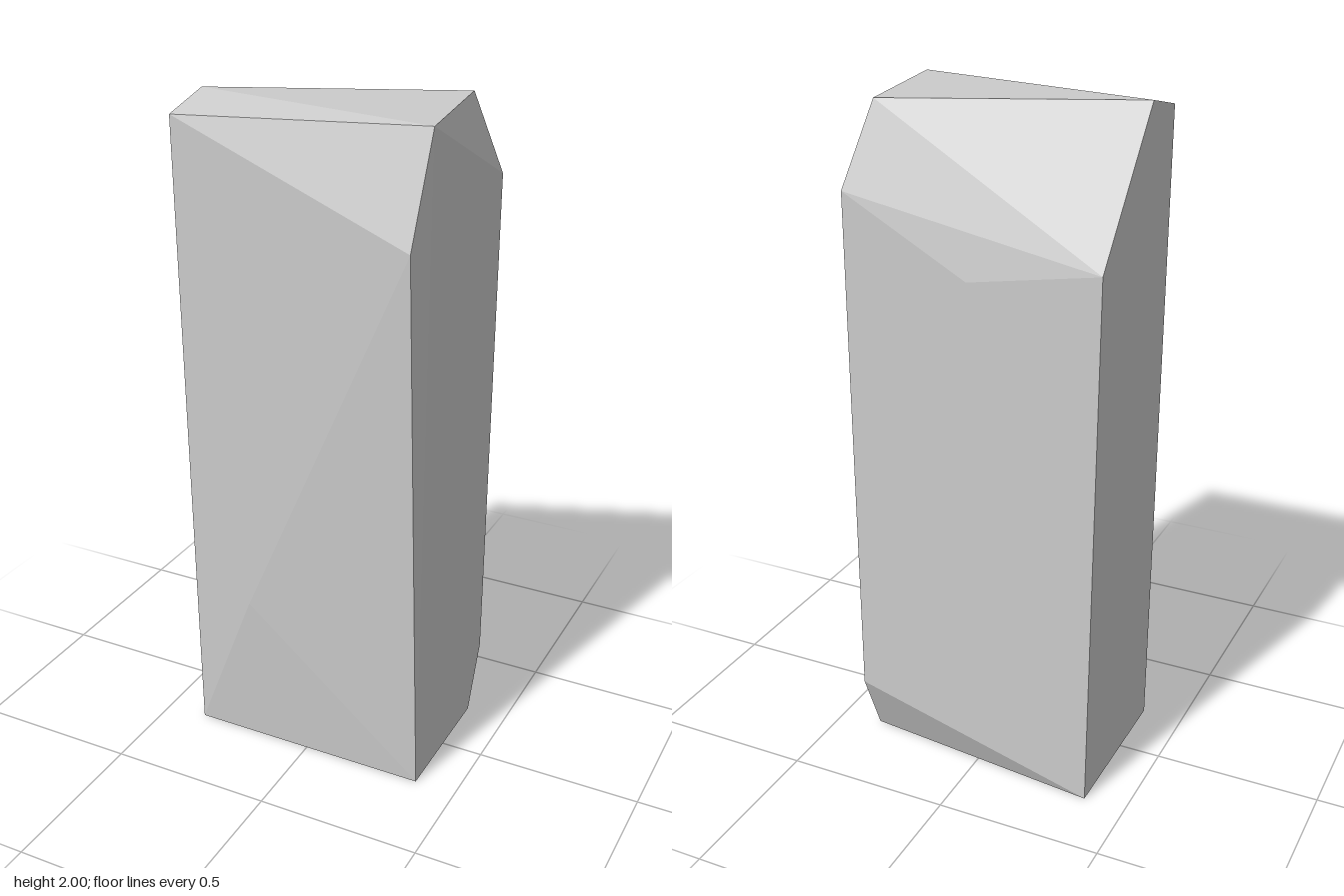
import * as THREE from 'three';
import { ConvexGeometry } from 'three/addons/geometries/ConvexGeometry.js';

// Half extents of the block
const X = 0.373, Z = 0.29;

export function createModel() {
  const group = new THREE.Group();
  group.name = 'stoneBlock';

  const corners = [
    // foot, with the back right corner chipped off
    [-X, 0, 0.21], [X, 0, 0.21], [X, 0, -0.207], [X, 0.2, -Z], [-X, 0, -Z],
    // low bulge on the front
    [-0.17, 0.5, 0.25],
    // front shoulder
    [0.352, 1.69, Z], [-X, 1.96, 0.248],
    // flat top facet
    [X, 2, 0.207], [0.31, 2, -0.209], [-X, 2, 0.08],
    // sloping back shoulder
    [X, 1.76, -Z], [0, 1.555, -Z], [-X, 1.61, -0.25],
  ].map((p) => new THREE.Vector3(...p));

  // Faceted convex rock spanning the corners
  const rock = new THREE.Mesh(
    new ConvexGeometry(corners),
    new THREE.MeshStandardMaterial({ color: 0xcccccc, flatShading: true })
  );
  rock.name = 'rock';
  group.add(rock);
  return group;
}
